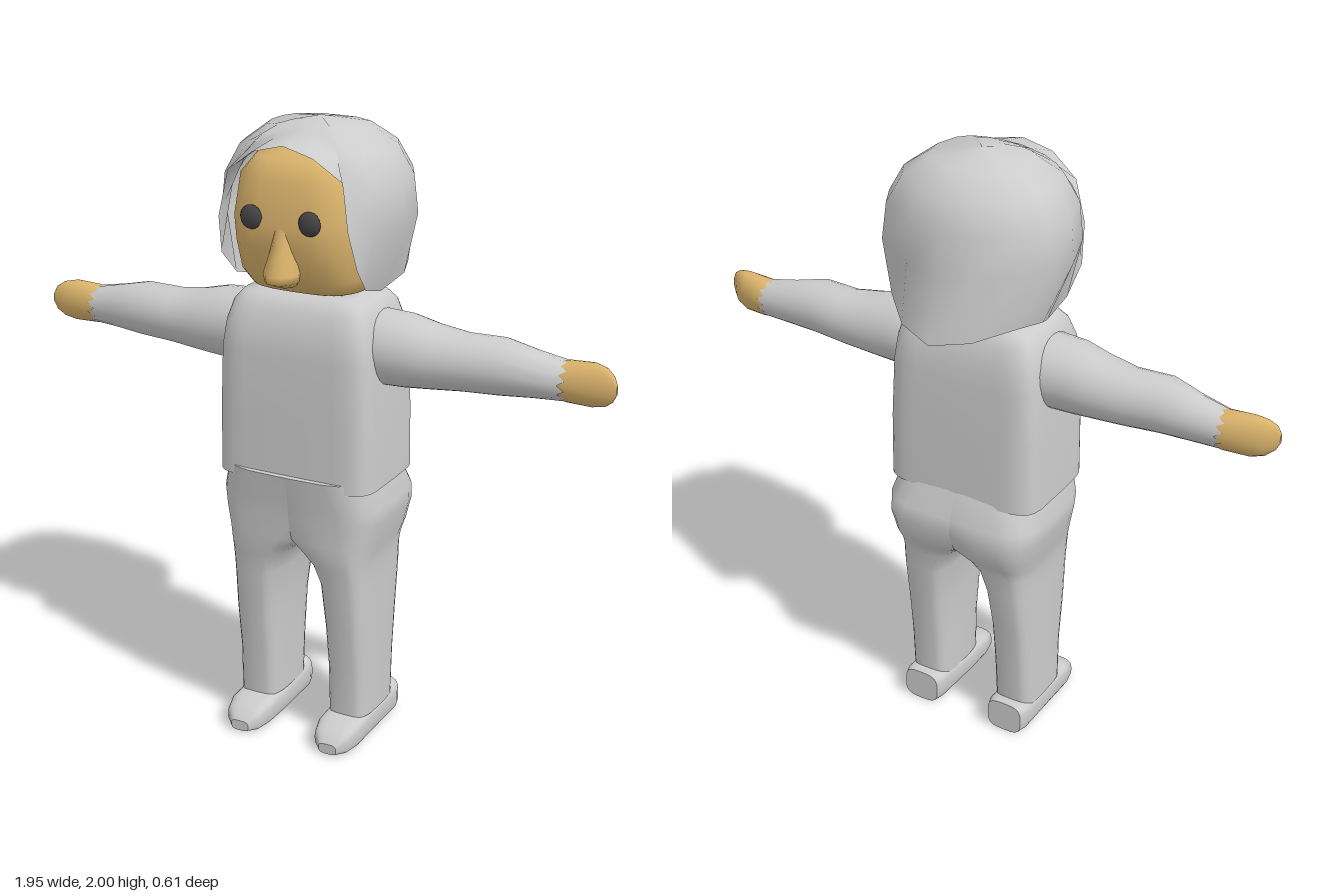
import * as THREE from 'three';
import { mergeGeometries } from 'three/addons/utils/BufferGeometryUtils.js';

const mat = (name, color) => new THREE.MeshStandardMaterial({ name, color, side: THREE.DoubleSide });

// Joins closed rings of points into one smooth skin; capped ends get flat fans.
function stitch(rings, capStart, capEnd) {
  const n = rings[0].length;
  const build = (points, index) => {
    const g = new THREE.BufferGeometry().setFromPoints(points);
    g.setIndex(index);
    g.computeVertexNormals();
    return g;
  };
  const index = [];
  for (let i = 0; i < rings.length - 1; i++) {
    for (let j = 0; j < n; j++) {
      const a = i * n + j, b = i * n + (j + 1) % n;
      index.push(a, b, b + n, a, b + n, a + n);
    }
  }
  const parts = [build(rings.flat(), index)];
  const cap = (ring, flip) => {
    const centre = new THREE.Vector3();
    ring.forEach((p) => centre.addScaledVector(p, 1 / n));
    const fan = [];
    for (let j = 0; j < n; j++) {
      const k = (j + 1) % n;
      fan.push(n, flip ? k : j, flip ? j : k);
    }
    parts.push(build([...ring, centre], fan));
  };
  if (capStart) cap(rings[0], true);
  if (capEnd) cap(rings[rings.length - 1], false);
  return mergeGeometries(parts);
}

// Rounded sections along an axis. Rows: y [y,z0,z1,x0,x1], x [x,y0,y1,z0,z1], z [z,x0,x1,y0,y1].
const place = {
  x: (t, u, v) => new THREE.Vector3(t, u, v),
  y: (t, u, v) => new THREE.Vector3(v, t, u),
  z: (t, u, v) => new THREE.Vector3(u, v, t),
};
function loft(axis, rows, power = 2, { sides = 24, jag = 0, open = false } = {}) {
  const round = (c) => Math.sign(c) * Math.abs(c) ** (2 / power);
  const rings = rows.map(([t, u0, u1, v0, v1], i) => Array.from({ length: sides }, (_, j) => {
    const a = (j / sides) * Math.PI * 2;
    const tooth = i === rows.length - 1 ? jag * (j % 2 ? 1 : -1) : 0;
    return place[axis](t + tooth,
      (u0 + u1) / 2 + round(Math.cos(a)) * (u1 - u0) / 2,
      (v0 + v1) / 2 + round(Math.sin(a)) * (v1 - v0) / 2);
  }));
  return stitch(rings, true, !open);
}

function mirror(geometry) {
  const g = geometry.clone().scale(-1, 1, 1);
  const ix = g.index.array;
  for (let i = 0; i < ix.length; i += 3) [ix[i], ix[i + 1]] = [ix[i + 1], ix[i]];
  g.computeVertexNormals();
  return g;
}

// Domed hair hanging down to an uneven hem.
function hairGeometry() {
  const half = [
    [0, 1.95, 0.235], [0.1, 1.925, 0.24], [0.19, 1.86, 0.225], [0.215, 1.72, 0.24],
    [0.228, 1.6, 0.205], [0.22, 1.52, 0.13], [0.215, 1.49, 0.02], [0.25, 1.53, -0.07],
    [0.22, 1.54, -0.16], [0.12, 1.51, -0.26], [0, 1.49, -0.305],
  ];
  const hem = [...half, ...half.slice(1, -1).reverse().map(([x, y, z]) => [-x, y, z])];
  const rings = [1, 0.6, 0.35, 0.17, 0.05, 0].map((s) => hem.map(([x, y, z]) => {
    if (s === 1) return new THREE.Vector3(x, y, z);
    const h = 2 - (2 - y) * s;
    const k = Math.max(0, 1 - Math.max(0, (h - 1.72) / 0.28) ** 2.5) ** 0.4;
    const a = Math.atan2(x, z), sx = Math.sin(a), cz = Math.cos(a);
    const r = k / (Math.abs(sx / 0.295) ** 2.5 + Math.abs(cz / 0.25) ** 2.5) ** 0.4;
    return new THREE.Vector3(sx * r, h, cz * r);
  }));
  return stitch(rings, false, false);
}

export function createModel() {
  const model = new THREE.Group();
  model.name = 'figure';
  const grey = mat('light grey', 0xcccccc);
  const skin = mat('skin', 0xdbb46c);
  const dark = mat('dark grey', 0x444444);
  const add = (name, geometry, material) => {
    const mesh = new THREE.Mesh(geometry, material);
    mesh.name = name;
    model.add(mesh);
  };
  const addPair = (name, geometry, material) => {
    add(`left${name}`, geometry, material);
    add(`right${name}`, mirror(geometry), material);
  };

  // Boxy top with rounded shoulders
  add('torso', loft('y', [
    [0.89, -0.165, 0.218, -0.268, 0.268],
    [1.1, -0.163, 0.218, -0.266, 0.266],
    [1.3, -0.155, 0.216, -0.258, 0.258],
    [1.38, -0.145, 0.205, -0.247, 0.247],
    [1.44, -0.125, 0.18, -0.23, 0.23],
    [1.47, -0.1, 0.155, -0.205, 0.205],
    [1.48, -0.07, 0.12, -0.16, 0.16],
  ], 6, { sides: 32 }), grey);

  // Each trouser half overlaps the other at the hips
  addPair('TrouserLeg', loft('y', [
    [0.09, -0.095, 0.15, 0.09, 0.235],
    [0.25, -0.105, 0.155, 0.088, 0.235],
    [0.4, -0.122, 0.175, 0.085, 0.237],
    [0.55, -0.145, 0.19, 0.072, 0.238],
    [0.62, -0.152, 0.202, 0.045, 0.24],
    [0.66, -0.165, 0.21, 0.005, 0.245],
    [0.7, -0.19, 0.212, -0.05, 0.255],
    [0.77, -0.208, 0.217, -0.1, 0.27],
    [0.82, -0.2, 0.222, -0.13, 0.274],
    [0.92, -0.16, 0.238, -0.2, 0.248],
  ], 3.6), grey);

  addPair('Shoe', loft('z', [
    [-0.13, 0.1, 0.225, 0, 0.11],
    [-0.1, 0.09, 0.235, 0, 0.11],
    [0.08, 0.085, 0.235, 0, 0.1],
    [0.18, 0.087, 0.235, 0, 0.092],
    [0.23, 0.1, 0.222, 0, 0.075],
    [0.26, 0.13, 0.192, 0.005, 0.04],
  ], 3.4), grey);

  // Sleeves with ragged cuffs, and mitten hands
  addPair('Sleeve', loft('x', [
    [0.22, 1.205, 1.44, -0.085, 0.145],
    [0.32, 1.208, 1.435, -0.083, 0.14],
    [0.4, 1.214, 1.415, -0.078, 0.128],
    [0.5, 1.222, 1.4, -0.072, 0.112],
    [0.62, 1.23, 1.404, -0.064, 0.11],
    [0.72, 1.236, 1.38, -0.055, 0.085],
    [0.815, 1.24, 1.36, -0.048, 0.066],
  ], 2, { jag: 0.012, open: true }), grey);
  addPair('Hand', loft('x', [
    [0.77, 1.245, 1.355, -0.042, 0.06],
    [0.82, 1.237, 1.364, -0.045, 0.062],
    [0.9, 1.235, 1.37, -0.03, 0.055],
    [0.94, 1.245, 1.362, -0.008, 0.05],
    [0.965, 1.265, 1.345, 0.015, 0.045],
    [0.977, 1.29, 1.32, 0.027, 0.04],
  ]), skin);

  add('head', loft('y', [
    [1.48, -0.1, 0.12, -0.14, 0.14],
    [1.5, -0.15, 0.18, -0.185, 0.185],
    [1.55, -0.19, 0.222, -0.21, 0.21],
    [1.64, -0.2, 0.248, -0.218, 0.218],
    [1.72, -0.2, 0.258, -0.22, 0.22],
    [1.84, -0.18, 0.235, -0.205, 0.205],
    [1.9, -0.14, 0.2, -0.155, 0.155],
    [1.93, -0.05, 0.12, -0.07, 0.07],
  ], 3, { sides: 28 }), skin);

  add('nose', loft('y', [
    [1.53, 0.18, 0.25, -0.03, 0.03],
    [1.55, 0.18, 0.3, -0.05, 0.05],
    [1.575, 0.18, 0.303, -0.056, 0.056],
    [1.65, 0.18, 0.272, -0.038, 0.038],
    [1.72, 0.18, 0.256, -0.03, 0.03],
  ], 2, { sides: 12 }), skin);

  addPair('Eye', new THREE.SphereGeometry(0.037, 10, 8).scale(1, 1, 0.5).translate(0.097, 1.735, 0.252), dark);

  add('hair', hairGeometry(), grey);
  return model;
}
